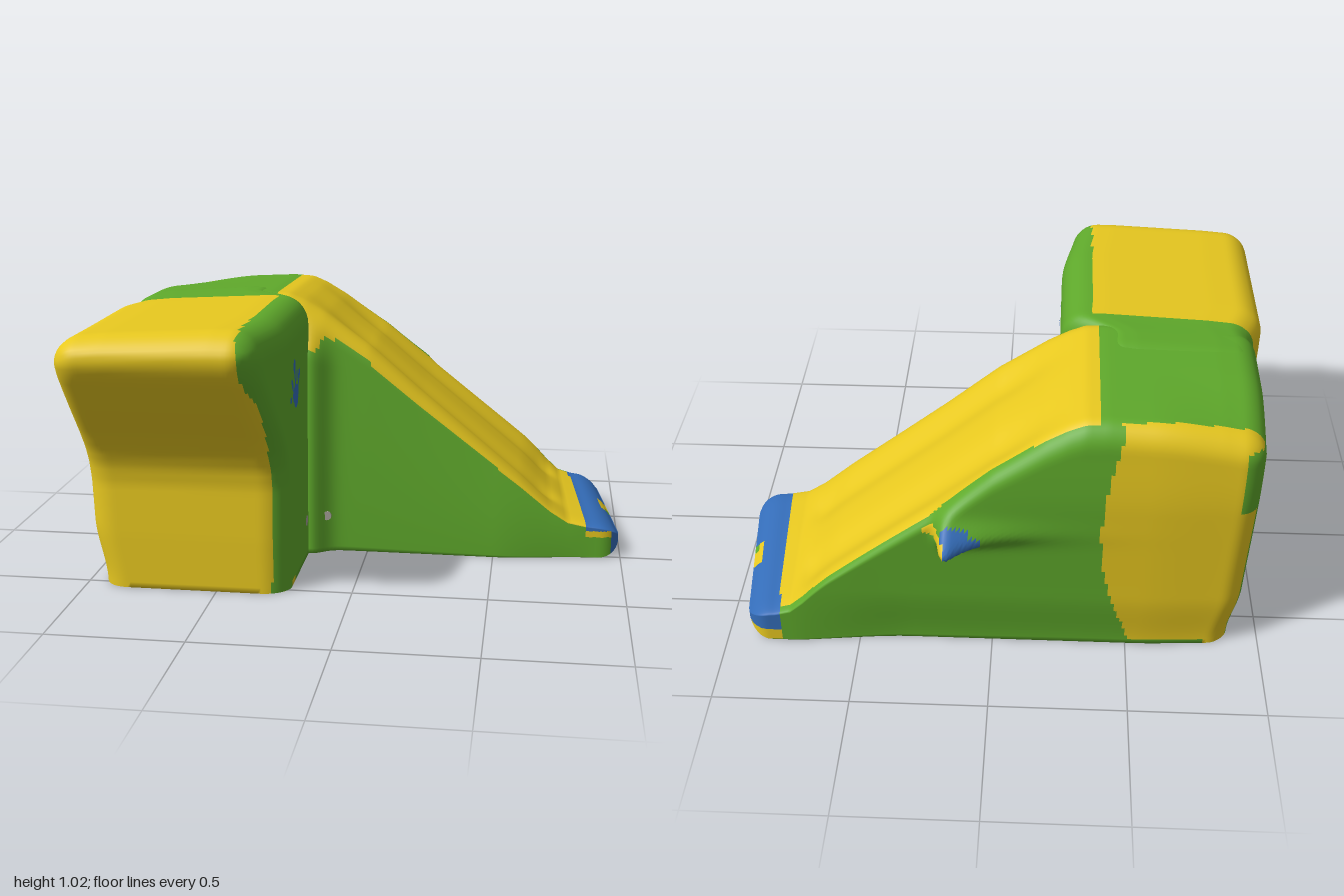
import * as THREE from 'three';
import { mergeVertices } from 'three/addons/utils/BufferGeometryUtils.js';

const { clamp, smoothstep: smooth, lerp } = THREE.MathUtils;
const material = (name, color) => new THREE.MeshStandardMaterial({ name, color });
const gauss = (d, w) => Math.exp(-((d / w) ** 2));

// Linear interpolation through [input, output] points
function along(points, t) {
  for (let i = 1; i < points.length; i++) {
    const [a, va] = points[i - 1], [b, vb] = points[i];
    if (t <= b) return lerp(va, vb, clamp((t - a) / (b - a), 0, 1));
  }
  return points[points.length - 1][1];
}

// Height of the deck, slope and toe along x
const HEIGHT = [[-0.96, 0.99], [-0.8, 1.005], [-0.4, 1.025], [-0.32, 1.02], [-0.26, 0.995], [-0.18, 0.95], [0, 0.825],
  [0.2, 0.65], [0.6, 0.315], [0.72, 0.205], [0.79, 0.155], [0.87, 0.137], [1, 0.125]];
// Front overhang of the landing block along y
const FRONT = [[0, 0.55], [0.2, 0.545], [0.4, 0.535], [0.47, 0.545], [0.53, 0.57], [0.6, 0.615], [0.72, 0.705],
  [0.85, 0.8], [0.9, 0.825], [0.95, 0.835], [1.02, 0.82]];
const footTaper = (y) => 0.03 * (1 - smooth(y, 0, 0.25)) + 0.025 * (1 - smooth(y, 0, 0.9));

// Finely divided box with soft edges (sharp at the floor), reshaped by a rule
function softBox(min, max, segs, r, rule) {
  const size = max.map((m, i) => m - min[i]);
  const box = new THREE.BoxGeometry(...size, ...segs);
  const pos = box.attributes.position;
  const p = new THREE.Vector3(), core = new THREE.Vector3();
  const lo = new THREE.Vector3(min[0] + r, min[1], min[2] + r);
  const hi = new THREE.Vector3(...max).subScalar(r);
  const mid = new THREE.Vector3(...min).add(new THREE.Vector3(...max)).multiplyScalar(0.5);
  for (let i = 0; i < pos.count; i++) {
    p.fromBufferAttribute(pos, i).add(mid);
    core.copy(p).clamp(lo, hi);
    p.sub(core);
    if (p.lengthSq() > 1e-10) p.setLength(r);
    p.add(core);
    rule(p);
    pos.setXYZ(i, p.x, p.y, p.z);
  }
  box.deleteAttribute('uv');
  box.deleteAttribute('normal');
  const merged = mergeVertices(box, 1e-5);
  merged.computeVertexNormals();
  return merged;
}

// Sort the quads into one group per colour
function paint(geometry, count, choose) {
  const pos = geometry.attributes.position, nor = geometry.attributes.normal, idx = geometry.index.array;
  const bins = Array.from({ length: count }, () => []);
  const c = new THREE.Vector3(), n = new THREE.Vector3(), v = new THREE.Vector3();
  for (let i = 0; i < idx.length; i += 6) {
    c.set(0, 0, 0);
    n.set(0, 0, 0);
    for (let k = 0; k < 6; k++) {
      c.add(v.fromBufferAttribute(pos, idx[i + k]));
      n.add(v.fromBufferAttribute(nor, idx[i + k]));
    }
    bins[choose(c.divideScalar(6), n.normalize())].push(...idx.slice(i, i + 6));
  }
  geometry.clearGroups();
  geometry.setIndex(bins.flat());
  let start = 0;
  bins.forEach((bin, m) => {
    geometry.addGroup(start, bin.length, m);
    start += bin.length;
  });
  return geometry;
}

const YELLOW = 0, GREEN = 1, BLUE = 2;
const PEG = { x: 0.165, y: 0.555 };

// Slide wing: deck, slope with shallow grooves, rounded toe and a peg on the back
function shapeSlide(p) {
  const v = p.y, back = -p.z / 0.69;
  const h = along(HEIGHT, p.x);
  const corner = smooth(back, 0.4, 1) * smooth(-p.x, 0.55, 0.95);
  const bed = smooth(p.x, -0.3, 0) * (1 - smooth(p.x, 0.66, 0.8)) * smooth(v, 0.75, 1);
  p.y = v * (h - 0.02 * clamp(back, 0, 1) * smooth(h, 0.3, 1) - 0.035 * corner);
  p.y -= bed * (0.035 * gauss(p.z + 0.53, 0.09) + 0.03 * gauss(p.z + 0.17, 0.08) + 0.012 * gauss(p.z + 0.35, 0.2));
  // nose rounding
  const t = clamp((p.x - 0.9) / 0.1, 0, 1);
  p.y = 0.068 + (p.y - 0.068) * Math.max(0.3, Math.sqrt(1 - t * t));
  // front wall leans outward and meets the landing in a fillet
  const front = smooth(1 - back, 0.6, 1);
  p.z += front * (1 - v * v) * 0.045 * (1 - smooth(p.x, 0.5, 0.9));
  p.z += front * (1 - smooth(v, 0.8, 1)) * 0.05 * gauss(p.x + 0.22, 0.06);
  // back wall narrows at the top and at the floor
  const rear = smooth(back, 0.7, 1);
  p.z += rear * (0.02 * smooth(p.y, 0.65, 1) + footTaper(p.y) * (1 - smooth(p.x, 0.3, 0.8)) * 0.7 + 0.015 * corner);
  // drawn-out peg on the back wall
  const dx = p.x - PEG.x, dy = p.y - PEG.y;
  const fx = dx < 0 ? Math.exp(Math.min(0, dx + 0.02) / 0.13) : gauss(dx, 0.025);
  const fy = dy > 0 ? 0.55 * gauss(dy, 0.05) + 0.45 * Math.exp(-dy / 0.13) : gauss(dy, 0.045);
  p.z -= 0.155 * fx * fy * smooth(back, 0.85, 1);
  p.x -= 0.08 * back * smooth(p.x, 0.6, 1);
  p.x += footTaper(p.y) * smooth(-p.x, 0.3, 0.95) + 0.015 * corner;
}

function colourToe(c, n) {
  if (n.z > 0.6 && c.x < 0.96) return c.y > 0.11 ? BLUE : c.y > 0.085 ? YELLOW : GREEN;
  if (c.y < 0.05) return c.z > -0.06 ? BLUE : YELLOW;
  if (n.x > 0.2 && c.y < 0.115 && c.z > -0.4 && c.z < -0.28) return c.z > -0.32 && c.y < 0.1 ? GREEN : YELLOW;
  return BLUE;
}

function colourSlide(c, n) {
  if (c.z < -0.69 && c.x > PEG.x && c.x < 0.25 && Math.abs(c.y - 0.565) < 0.022) return YELLOW;
  if (c.z < -0.755) return c.x > PEG.x + 0.01 ? GREEN : BLUE;
  if (n.y < -0.6 && c.y < 0.02) {
    if (Math.hypot(c.x - 0.77, c.z + 0.26) < 0.06) return BLUE;
    return c.x > 0.28 - 0.3 * c.z && c.z < -0.12 && c.z > -0.64 ? YELLOW : GREEN;
  }
  if (c.x > 0.865 + 0.1 * c.z) return colourToe(c, n);
  if (c.x < -0.37) {
    if (c.z < -0.58 && c.x < -0.87 && c.y > 0.66 && c.y < 0.9) return GREEN;
    if (n.z < -0.5) return c.x < -0.52 + 0.1 * Math.sin(Math.PI * c.y) + 0.06 * c.y ? YELLOW : GREEN;
    return n.y > 0.4 && c.z < -0.575 - 0.12 * (c.x + 0.9) ? YELLOW : GREEN;
  }
  const rearEdge = -0.635 - 0.035 * smooth(c.x, 0, 0.25);
  return n.y > 0.3 && c.z > rearEdge ? YELLOW : GREEN;
}

// Landing block with an overhanging front
function shapeLanding(p) {
  const u = (p.x + 1) / 0.77;
  p.y *= along(HEIGHT, Math.min(p.x, -0.4)) - 0.001;
  const w = (p.z + 0.25) / 1.08;
  p.z = -0.25 + w * (along(FRONT, p.y) + 0.25);
  const left = lerp(-0.95, -1, smooth(p.z, -0.01, 0.16)) + footTaper(p.y) * 1.2;
  const right = lerp(-0.38, -0.23, smooth(p.z, -0.1, 0.05)) - 0.05 * smooth(p.z, 0.45, 0.82);
  p.x = lerp(left, right, u);
}

function colourLanding(c, n) {
  if (c.z < 0.035) return GREEN;
  if (n.y < -0.6 && c.y < 0.03) return c.z > 0.4 ? YELLOW : GREEN;
  const edge = n.y > 0.6 ? -0.35 : -0.29 - 0.05 * smooth(c.y, 0.7, 0.9);
  return c.x > edge ? GREEN : YELLOW;
}

export function createModel() {
  const model = new THREE.Group();
  model.name = 'playSlide';
  const yellow = material('yellow', 0xeccc20);
  const green = material('green', 0x5fa92b);
  const blue = material('blue', 0x346db9);
  const grey = material('grey', 0xa39e97);
  const paints = [yellow, green, blue];

  const add = (parent, name, geometry, mat) => {
    const mesh = new THREE.Mesh(geometry, mat);
    mesh.name = name;
    parent.add(mesh);
    return mesh;
  };

  const slide = softBox([-0.955, 0, -0.7], [1, 1, 0.015], [140, 50, 52], 0.085, shapeSlide);
  add(model, 'slideWing', paint(slide, 3, colourSlide), paints);
  const landing = softBox([-1, 0, -0.25], [-0.23, 1, 0.83], [52, 48, 64], 0.105, shapeLanding);
  add(model, 'landingBlock', paint(landing, 3, colourLanding), paints);

  // Hand print and stud on the landing's inner wall
  const wall = new THREE.Group();
  wall.name = 'wallMarks';
  wall.rotation.y = Math.PI / 2;
  wall.position.x = -0.226;
  model.add(wall);
  const oval = (name, x, y, rx, ry, turn, mat) => {
    const mesh = add(wall, name, new THREE.CircleGeometry(1, 20), mat);
    mesh.scale.set(rx, ry, 1);
    mesh.position.set(x, y, 0);
    mesh.rotation.z = turn;
  };
  oval('palm', -0.358, 0.717, 0.055, 0.034, 0, blue);
  oval('palmHeel', -0.35, 0.695, 0.04, 0.032, 0, blue);
  [[-0.45, 0.712, 0.016, 0.012, 0], [-0.418, 0.762, 0.013, 0.03, 0.6], [-0.374, 0.822, 0.021, 0.028, 0],
    [-0.366, 0.78, 0.01, 0.04, 0.1], [-0.33, 0.78, 0.011, 0.022, -0.2], [-0.288, 0.776, 0.017, 0.023, -0.5],
    [-0.305, 0.745, 0.01, 0.03, -0.6]].forEach((f, i) => oval('finger' + (i + 1), ...f, blue));
  oval('wallStud', -0.16, 0.155, 0.022, 0.022, 0, grey);

  // Stud on the slide's front wall
  const stud = add(model, 'slideStud', new THREE.CylinderGeometry(0.018, 0.018, 0.009, 20), grey);
  stud.rotation.x = Math.PI / 2;
  stud.position.set(-0.16, 0.15, 0.078);
  return model;
}
